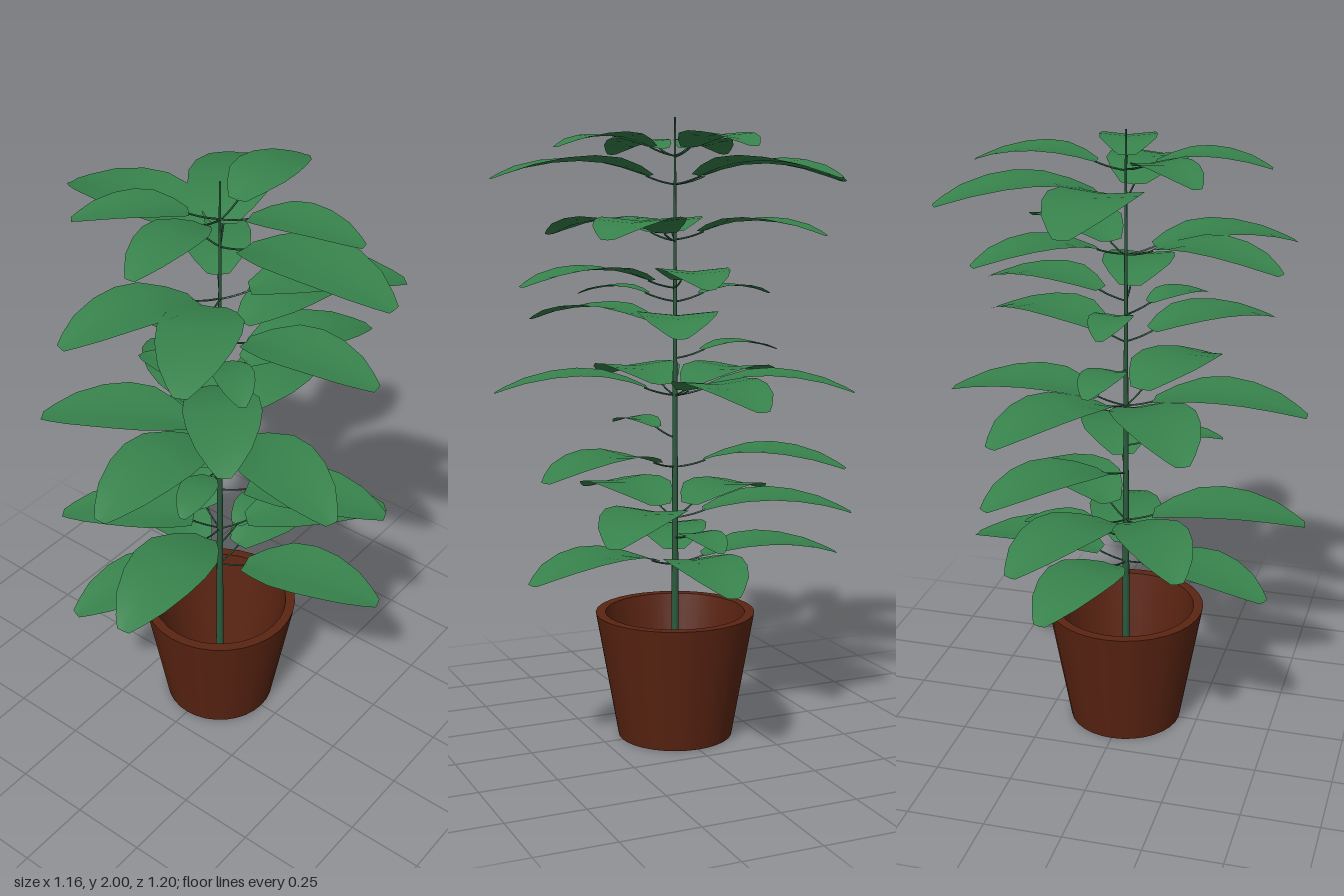
import * as THREE from 'three';

const leafMat = new THREE.MeshStandardMaterial({ color: 0x37824c, side: THREE.DoubleSide });
const stemMat = new THREE.MeshStandardMaterial({ color: 0x2a5a3c });
const potMat = new THREE.MeshStandardMaterial({ color: 0x5a2412 });

// Leaf outline along its length: [t, half width / length, height / length]
const RIBS = [
  [0, 0.08, -0.085], [0.12, 0.17, -0.045], [0.28, 0.25, -0.01], [0.45, 0.265, 0],
  [0.62, 0.24, -0.012], [0.8, 0.18, -0.045], [0.93, 0.1, -0.085], [1, 0.045, -0.11],
];
const ACROSS = [-1, -0.5, 0, 0.5, 1];
const BASE = 0.09;

// Blade pointing along +z, arched lengthwise and slightly folded at the midrib
function bladeGeometry(length) {
  const pos = [], index = [], n = ACROSS.length;
  RIBS.forEach(([t, w, h], i) => {
    for (const a of ACROSS) {
      pos.push(a * w * length, (h + 0.1 * w * Math.abs(a)) * length, BASE + t * length);
    }
    if (i === 0) return;
    for (let j = 0; j < n - 1; j++) {
      const p = (i - 1) * n + j, q = p + n;
      index.push(p, q, p + 1, p + 1, q, q + 1);
    }
  });
  const geo = new THREE.BufferGeometry();
  geo.setAttribute('position', new THREE.Float32BufferAttribute(pos, 3));
  geo.setIndex(index);
  geo.computeVertexNormals();
  return geo;
}

// One leaf with its stalk; (x, z) is the tip and peak the crown of its arch
function makeLeaf(x, z, peak) {
  const leaf = new THREE.Group();
  leaf.name = 'leaf';
  const length = Math.hypot(x, z) - BASE;
  const blade = new THREE.Mesh(bladeGeometry(length), leafMat);
  blade.name = 'leafBlade';
  const baseY = RIBS[0][2] * length;
  const path = new THREE.QuadraticBezierCurve3(
    new THREE.Vector3(0, baseY - 0.025, 0),
    new THREE.Vector3(0, baseY - 0.02, 0.05),
    new THREE.Vector3(0, baseY + 0.001, BASE + 0.01));
  const stalk = new THREE.Mesh(new THREE.TubeGeometry(path, 5, 0.003, 5), stemMat);
  stalk.name = 'leafStalk';
  leaf.add(blade, stalk);
  leaf.position.y = peak;
  leaf.rotation.y = Math.atan2(x, z);
  return leaf;
}

// Whorls from bottom to top: height, then leaf tips as [x, z]
const WHORLS = [
  [0.635, [[0.15, 0.54], [0.54, 0.05], [0.13, -0.53], [-0.5, -0.2]]],
  [0.705, [[0.35, 0]]],
  [0.79, [[-0.58, 0.08], [0.42, 0.38], [0.22, -0.53], [-0.28, -0.45]]],
  [0.955, [[0.2, 0.51], [0.33, -0.44]]],
  [1.03, [[-0.3, 0.09]]],
  [1.19, [[0.58, -0.02], [-0.58, 0.01], [-0.17, 0.55], [-0.3, -0.49], [0.28, -0.5]]],
  [1.29, [[0.03, -0.35]]],
  [1.4, [[-0.41, 0.34], [0.51, 0.21]]],
  [1.47, [[-0.21, 0.25], [-0.01, -0.34]]],
  [1.53, [[0.06, 0.53], [0.49, 0.11]]],
  [1.68, [[-0.49, 0.25], [-0.51, -0.17], [0.41, 0.39], [0.38, -0.33]]],
  [1.86, [[0.02, -0.6], [0, 0.6], [0.5, -0.31]]],
  [1.935, [[0.47, -0.04], [0.1, 0.43], [-0.44, 0.04], [-0.29, -0.31]]],
];

export function createModel() {
  const plant = new THREE.Group();
  plant.name = 'pottedPlant';

  // Hollow tapered pot; repeated points keep the edges sharp
  const profile = [
    [0, 0], [0.187, 0], [0.187, 0], [0.26, 0.412], [0.26, 0.412], [0.228, 0.412],
    [0.228, 0.412], [0.165, 0.03], [0.165, 0.03], [0, 0.03],
  ].map(([r, y]) => new THREE.Vector2(r, y));
  const pot = new THREE.Mesh(new THREE.LatheGeometry(profile, 32), potMat);
  pot.name = 'pot';

  // Tapering stem
  const stem = new THREE.Mesh(new THREE.CylinderGeometry(0.003, 0.014, 1.97, 10), stemMat);
  stem.name = 'stem';
  stem.position.y = 1.015;
  plant.add(pot, stem);

  const foliage = new THREE.Group();
  foliage.name = 'foliage';
  for (const [peak, tips] of WHORLS) {
    for (const [x, z] of tips) foliage.add(makeLeaf(x, z, peak));
  }
  plant.add(foliage);
  return plant;
}
